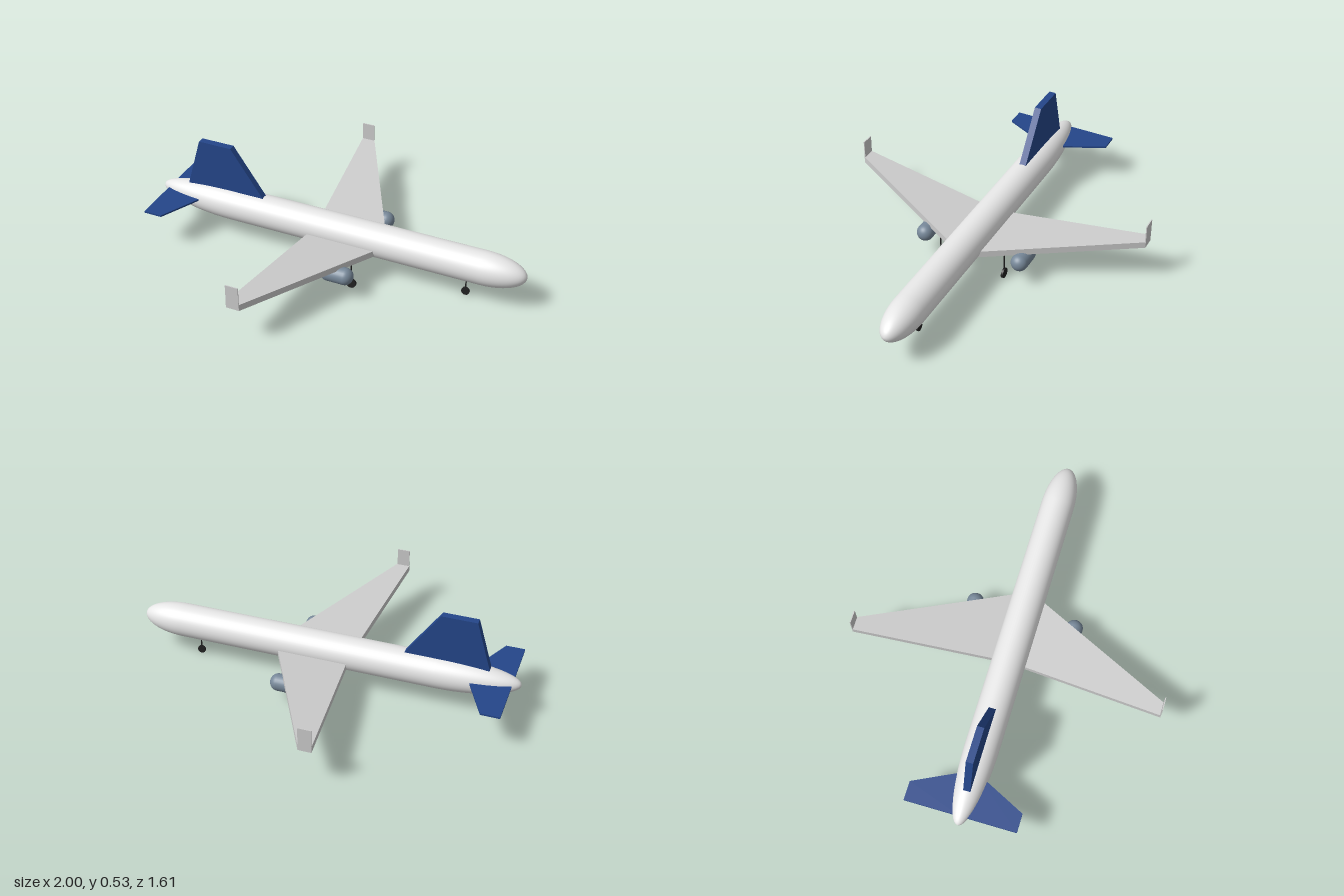
import * as THREE from 'three';

const paint = (name, color) => {
  const m = new THREE.MeshStandardMaterial({ color });
  m.name = name;
  return m;
};

export function createModel() {
  const white = paint('fuselage white', 0xe8e8e8);
  const grey = paint('wing grey', 0xcccccc);
  const blue = paint('tail blue', 0x24468a);
  const slate = paint('engine slate', 0x778899);
  const black = paint('gear black', 0x222222);

  const model = new THREE.Group();
  model.name = 'airliner';

  const add = (name, geometry, material, x = 0, y = 0, z = 0) => {
    const mesh = new THREE.Mesh(geometry, material);
    mesh.name = name;
    mesh.position.set(x, y, z);
    model.add(mesh);
    return mesh;
  };

  // Round body along x with elliptical caps at both ends
  const pod = (back, front, radius, backCap, frontCap, segments) => {
    const points = [];
    const steps = 14;
    for (let i = 0; i <= steps; i++) {
      const a = (i / steps) * Math.PI / 2;
      points.push(new THREE.Vector2(radius * Math.sin(a), back + backCap * (1 - Math.cos(a))));
    }
    for (let i = steps; i >= 0; i--) {
      const a = (i / steps) * Math.PI / 2;
      points.push(new THREE.Vector2(radius * Math.sin(a), front - frontCap * (1 - Math.cos(a))));
    }
    return new THREE.LatheGeometry(points, segments).rotateZ(-Math.PI / 2);
  };

  // Flat panel from a plan outline of [x, z], raised by lift(|z|)
  const panel = (outline, thickness, side, lift) => {
    const shape = new THREE.Shape(outline.map(([x, z]) => new THREE.Vector2(x, -z * side)));
    const geometry = new THREE.ExtrudeGeometry(shape, { depth: thickness, bevelEnabled: false });
    geometry.rotateX(-Math.PI / 2);
    const p = geometry.attributes.position;
    for (let i = 0; i < p.count; i++) p.setY(i, p.getY(i) + lift(Math.abs(p.getZ(i))));
    geometry.computeVertexNormals();
    return geometry;
  };

  // Fuselage, its tail cone swept slightly upwards
  const body = pod(-1, 1, 0.087, 0.42, 0.22, 48);
  const p = body.attributes.position;
  for (let i = 0; i < p.count; i++) {
    const t = Math.max(0, (-p.getX(i) - 0.58) / 0.42);
    p.setY(i, p.getY(i) + 0.014 * t * t);
  }
  add('fuselage', body, white, 0, 0.19, 0);

  // Vertical fin
  const finShape = new THREE.Shape(
    [[-0.84, 0.26], [-0.41, 0.26], [-0.41, 0.275], [-0.585, 0.53], [-0.765, 0.53], [-0.84, 0.27]]
      .map(([x, y]) => new THREE.Vector2(x, y)));
  add('fin', new THREE.ExtrudeGeometry(finShape, { depth: 0.036, bevelEnabled: false }), blue, 0, 0, -0.018);

  // Landing gear leg and wheel
  const gear = (name, x, z, radius, top) => {
    const height = top - radius;
    add(name + 'Strut', new THREE.CylinderGeometry(0.0035, 0.0035, height, 10), black, x, radius + height / 2, z);
    add(name + 'Wheel', new THREE.CylinderGeometry(radius, radius, 0.011, 24).rotateX(Math.PI / 2), black, x, radius, z);
  };
  gear('noseGear', 0.697, 0, 0.021, 0.125);

  for (const side of [1, -1]) {
    const label = side > 0 ? 'left' : 'right';
    const wing = [[-0.127, 0.05], [0.25, 0.05], [-0.135, 0.805], [-0.203, 0.805]];
    add(label + 'Wing', panel(wing, 0.034, side, z => 0.145 + (z - 0.085) * 0.087), grey);
    add(label + 'Winglet', new THREE.BoxGeometry(0.066, 0.128, 0.005), grey, -0.169, 0.272, side * 0.803);
    const tail = [[-0.957, 0], [-0.72, 0], [-0.86, 0.286], [-0.957, 0.286]];
    add(label + 'Tailplane', panel(tail, 0.009, side, () => 0.204), blue);
    add(label + 'Engine', pod(0.032, 0.204, 0.044, 0.042, 0.042, 28), slate, 0, 0.128, side * 0.266);
    gear(label + 'Gear', 0.157, side * 0.18, 0.027, 0.16);
  }

  return model;
}
